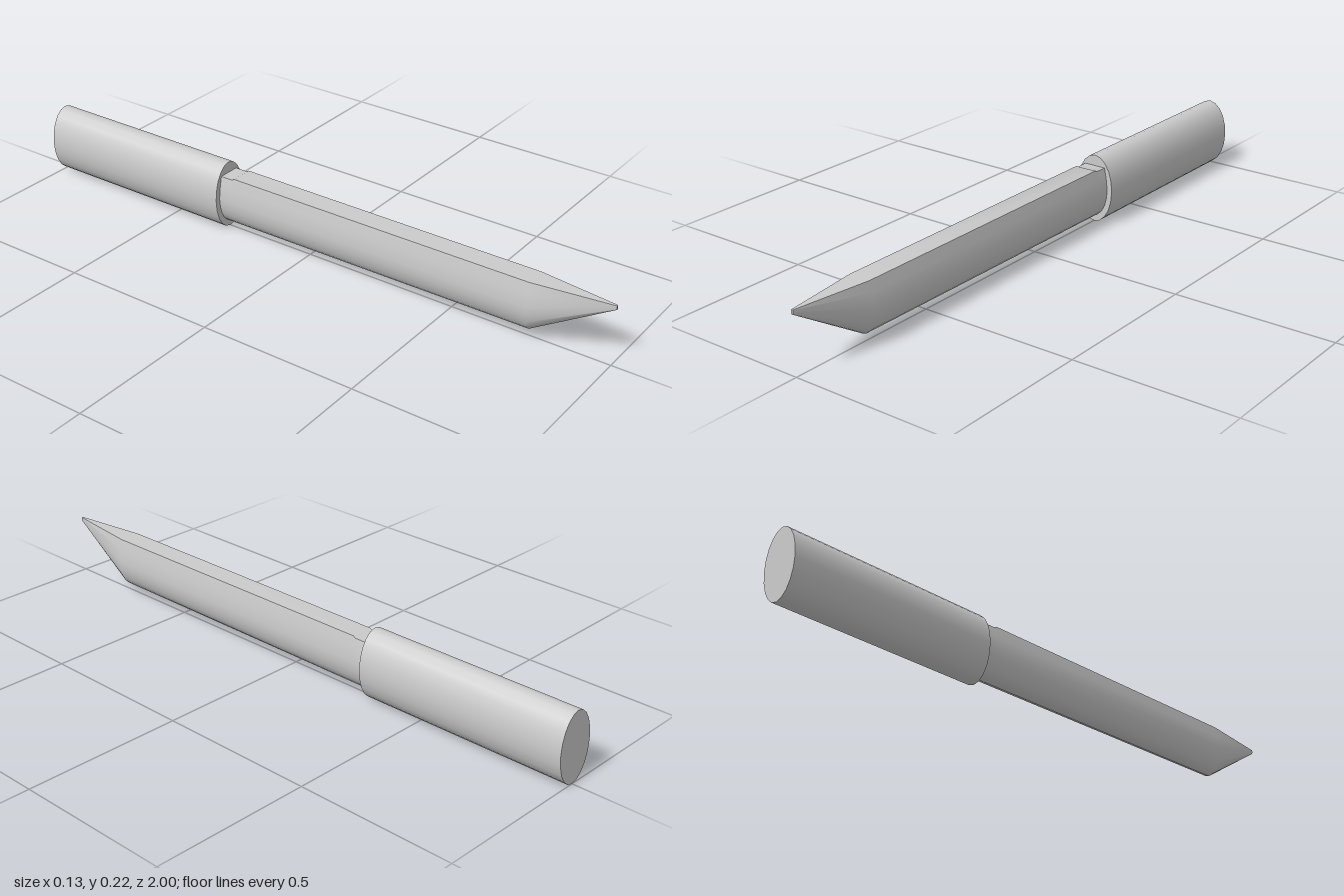
import * as THREE from 'three';
import { toCreasedNormals } from 'three/addons/utils/BufferGeometryUtils.js';

const material = new THREE.MeshStandardMaterial({ color: 0xcccccc });
const TOP = 0.192;

// Blade outline, counter-clockwise from the left end of the flat spine
function bladeOutline() {
  const points = [[-0.036, TOP], [-0.0425, 0.158]];
  for (let i = 0; i <= 10; i++) {
    const a = Math.PI + (i / 10) * Math.PI;
    points.push([0.048 * Math.cos(a), 0.115 + 0.091 * Math.sin(a)]);
  }
  points.push([0.0425, 0.158], [0.036, TOP]);
  return points;
}

// Loft the outline through sections of { z, sx, sy, top }, shrinking towards the spine
function loft(outline, sections) {
  const n = outline.length;
  const positions = [];
  const index = [];
  for (const { z, sx, sy, top } of sections) {
    for (const [x, y] of outline) {
      positions.push(x * sx, Math.min(top, TOP + (y - TOP) * sy), z);
    }
  }
  for (let s = 0; s < sections.length - 1; s++) {
    for (let i = 0; i < n; i++) {
      const a = s * n + i, b = s * n + (i + 1) % n;
      index.push(a, b, b + n, a, b + n, a + n);
    }
  }
  // End caps
  const last = (sections.length - 1) * n;
  for (let i = 1; i < n - 1; i++) {
    index.push(0, i + 1, i, last, last + i, last + i + 1);
  }
  const geometry = new THREE.BufferGeometry();
  geometry.setAttribute('position', new THREE.Float32BufferAttribute(positions, 3));
  geometry.setIndex(index);
  return toCreasedNormals(geometry, 0.5);
}

export function createModel() {
  const group = new THREE.Group();
  group.name = 'knife';

  // Oval handle
  const handleGeometry = new THREE.CylinderGeometry(1, 1, 0.69, 20);
  handleGeometry.rotateX(Math.PI / 2);
  handleGeometry.scale(0.065, 0.11, 1);
  const handle = new THREE.Mesh(handleGeometry, material);
  handle.name = 'handle';
  handle.position.set(0, 0.112, -0.655);
  group.add(handle);

  // Blade with a flat spine, a shallow step at the handle and a slanted point
  const blade = new THREE.Mesh(loft(bladeOutline(), [
    { z: -0.32, sx: 1, sy: 1, top: 0.187 },
    { z: -0.27, sx: 1, sy: 1, top: 0.187 },
    { z: -0.26, sx: 1, sy: 1, top: TOP },
    { z: 0.755, sx: 0.97, sy: 0.975, top: TOP },
    { z: 1, sx: 0.08, sy: 0.08, top: TOP },
  ]), material);
  blade.name = 'blade';
  group.add(blade);

  return group;
}
